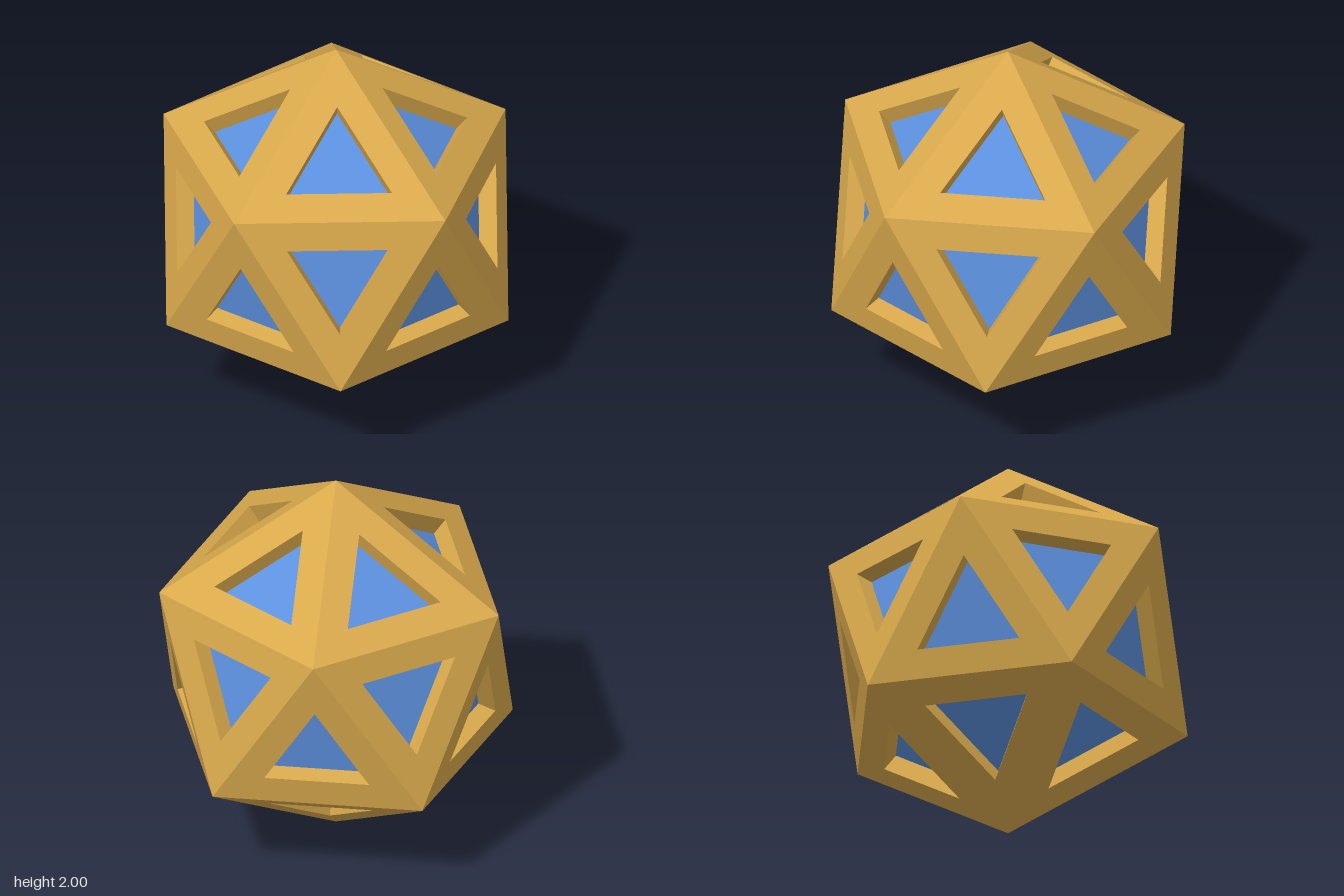
import * as THREE from 'three';

const HOLE = 0.5;     // opening size relative to its face
const DEPTH = 0.095;  // how far each pane sits below the face

// Flat-shaded geometry from a list of triangle corner points
function flatGeometry(points) {
  const geometry = new THREE.BufferGeometry().setFromPoints(points);
  geometry.computeVertexNormals();
  return geometry;
}

// Icosahedron faces, standing on one corner, wound to face outward
function icosahedronFaces() {
  const ring = (y, offset) => Array.from({ length: 5 }, (_, k) => {
    const a = (k + offset) * Math.PI * 2 / 5, r = Math.sqrt(0.8);
    return new THREE.Vector3(r * Math.cos(a), y, r * Math.sin(a));
  });
  const h = Math.sqrt(0.2);
  const upper = ring(h, 0), lower = ring(-h, 0.5);
  const top = new THREE.Vector3(0, 1, 0), bottom = new THREE.Vector3(0, -1, 0);
  const faces = [];
  for (let k = 0; k < 5; k++) {
    const n = (k + 1) % 5;
    faces.push([top, upper[k], upper[n]], [upper[k], upper[n], lower[k]],
      [lower[k], lower[n], upper[n]], [bottom, lower[k], lower[n]]);
  }
  return faces.map(([a, b, c]) =>
    a.dot(b.clone().cross(c)) > 0 ? [a, b, c] : [a, c, b]);
}

export function createModel() {
  const gold = new THREE.MeshStandardMaterial({ color: 0xd9a94c });
  gold.name = 'gold';
  const blue = new THREE.MeshStandardMaterial({ color: 0x5c90de });
  blue.name = 'blue';

  const frame = [], panes = [];
  for (const outer of icosahedronFaces()) {
    const centre = new THREE.Vector3();
    outer.forEach(p => centre.addScaledVector(p, 1 / 3));
    const normal = centre.clone().normalize();
    const hole = outer.map(p => centre.clone().lerp(p, HOLE));
    const floor = hole.map(p => p.clone().addScaledVector(normal, -DEPTH));

    // Face border, then the walls of the opening
    for (const [from, to] of [[outer, hole], [hole, floor]]) {
      for (let i = 0; i < 3; i++) {
        const j = (i + 1) % 3;
        frame.push(from[i], from[j], to[j], from[i], to[j], to[i]);
      }
    }
    // Recessed pane
    panes.push(...floor);
  }

  const group = new THREE.Group();
  group.name = 'icosahedron';
  const frameMesh = new THREE.Mesh(flatGeometry(frame), gold);
  frameMesh.name = 'frame';
  const paneMesh = new THREE.Mesh(flatGeometry(panes), blue);
  paneMesh.name = 'recessedPanes';
  group.add(frameMesh, paneMesh);
  group.position.y = 1;

  const model = new THREE.Group();
  model.name = 'framedIcosahedron';
  model.add(group);
  return model;
}
